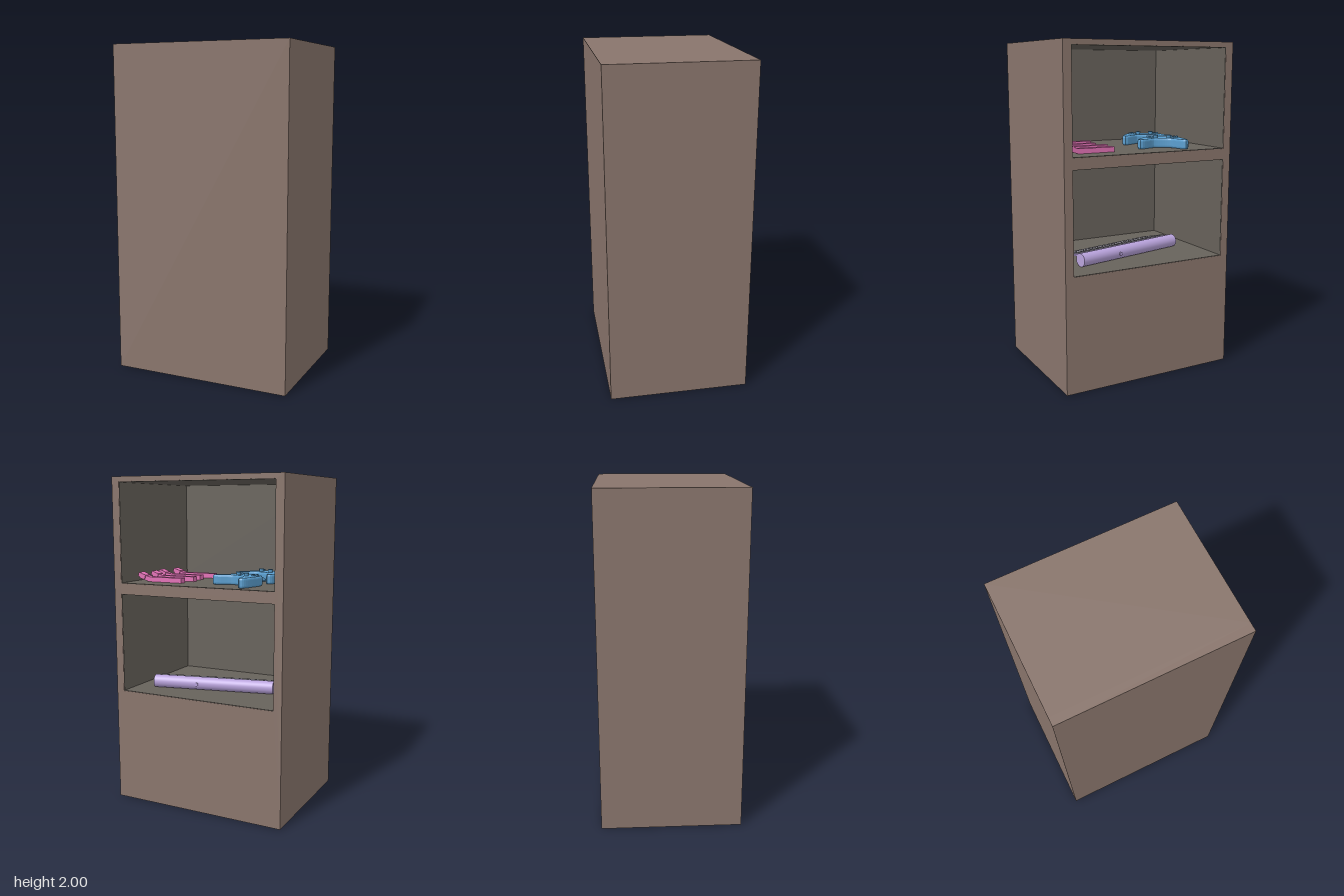
import * as THREE from 'three';
import { RoundedBoxGeometry } from 'three/addons/geometries/RoundedBoxGeometry.js';

const mat = (color) => new THREE.MeshStandardMaterial({ color });
const WOOD = mat(0x89756c), LINING = mat(0x67625b), PINK = mat(0xe272b6), BLUE = mat(0x5b9fd0),
  PURPLE = mat(0xb9a3dc), GREY = mat(0x8a8890);

const W = 1.11, D = 0.84, H = 2, INNER = 1.01, FRONT = 0.37;
const BAYS = [{ y0: 0.697, y1: 1.303 }, { y0: 1.367, y1: 1.97 }];

function add(parent, name, geo, material, x = 0, y = 0, z = 0) {
  const mesh = new THREE.Mesh(geo, material);
  mesh.name = name;
  mesh.position.set(x, y, z);
  parent.add(mesh);
  return mesh;
}

function rect(target, x0, y0, x1, y1) {
  target.moveTo(x0, y0);
  target.lineTo(x1, y0);
  target.lineTo(x1, y1);
  target.lineTo(x0, y1);
  target.closePath();
  return target;
}

// Cabinet open at the back, with two lined compartments
function makeCabinet() {
  const g = new THREE.Group();
  g.name = 'cabinet';
  const outline = rect(new THREE.Shape(), -W / 2, 0, W / 2, H);
  for (const b of BAYS) outline.holes.push(rect(new THREE.Path(), -INNER / 2, b.y0, INNER / 2, b.y1));
  const depth = FRONT + D / 2;
  add(g, 'carcass', new THREE.ExtrudeGeometry(outline, { depth, bevelEnabled: false }), WOOD, 0, 0, -D / 2);
  add(g, 'frontPanel', new THREE.BoxGeometry(W, H, D / 2 - FRONT), WOOD, 0, H / 2, (FRONT + D / 2) / 2);
  const t = 0.003, d = depth - 0.002, zc = FRONT - d / 2;
  for (const b of BAYS) {
    const h = b.y1 - b.y0, yc = (b.y0 + b.y1) / 2;
    add(g, 'liningBottom', new THREE.BoxGeometry(INNER, t, d), LINING, 0, b.y0 + t / 2, zc);
    add(g, 'liningTop', new THREE.BoxGeometry(INNER, t, d), LINING, 0, b.y1 - t / 2, zc);
    add(g, 'liningEnd', new THREE.BoxGeometry(INNER, h, t), LINING, 0, yc, FRONT - t / 2);
    for (const s of [-1, 1])
      add(g, 'liningSide', new THREE.BoxGeometry(t, h, d), LINING, s * (INNER - t) / 2, yc, zc);
  }
  return g;
}

// Slim handheld wand: straight handle with a tilted head at +x
function makeWand() {
  const g = new THREE.Group();
  g.name = 'wand';
  const side = new THREE.Shape([
    [-0.15, 0], [0.08, 0], [0.15, 0.022], [0.142, 0.045], [0.075, 0.03], [-0.15, 0.03],
  ].map(([x, y]) => new THREE.Vector2(x, y)));
  const handle = new THREE.ExtrudeGeometry(side, { depth: 0.045, bevelEnabled: false });
  add(g, 'handle', handle, PINK, 0, 0, -0.0225);
  add(g, 'head', new THREE.BoxGeometry(0.05, 0.025, 0.056), PINK, 0.128, 0.036, 0).rotation.z = 0.33;
  return g;
}

// Two-grip controller lying flat, grips toward its own +z
function makeController() {
  const g = new THREE.Group();
  g.name = 'controller';
  const s = new THREE.Shape();
  s.moveTo(0, 0.075);
  s.bezierCurveTo(0.06, 0.085, 0.1, 0.06, 0.11, 0.02);
  s.bezierCurveTo(0.125, -0.03, 0.15, -0.1, 0.14, -0.115);
  s.bezierCurveTo(0.125, -0.145, 0.085, -0.06, 0.055, -0.04);
  s.bezierCurveTo(0.03, -0.03, -0.03, -0.03, -0.055, -0.04);
  s.bezierCurveTo(-0.085, -0.06, -0.125, -0.145, -0.14, -0.115);
  s.bezierCurveTo(-0.15, -0.1, -0.125, -0.03, -0.11, 0.02);
  s.bezierCurveTo(-0.1, 0.06, -0.06, 0.085, 0, 0.075);
  const body = new THREE.ExtrudeGeometry(s, {
    depth: 0.03, bevelThickness: 0.014, bevelSize: 0.01, bevelSegments: 4, curveSegments: 8,
  });
  body.rotateX(-Math.PI / 2);
  add(g, 'body', body, BLUE, 0, 0.014, 0);
  for (const k of [-1, 1]) {
    add(g, 'thumbstick', new THREE.CylinderGeometry(0.016, 0.012, 0.02, 16), BLUE, k * 0.04, 0.066, 0.012);
    add(g, 'shoulderButton', new RoundedBoxGeometry(0.05, 0.02, 0.025, 2, 0.008), BLUE, k * 0.065, 0.035, -0.08);
  }
  for (let i = 0; i < 4; i++) {
    const a = i * Math.PI / 2;
    add(g, 'button', new THREE.CylinderGeometry(0.007, 0.007, 0.01, 12), BLUE,
      0.075 + 0.016 * Math.cos(a), 0.062, -0.025 + 0.016 * Math.sin(a));
  }
  for (const [w, d] of [[0.042, 0.013], [0.013, 0.042]])
    add(g, 'directionPad', new THREE.BoxGeometry(w, 0.01, d), BLUE, -0.075, 0.062, -0.025);
  return g;
}

// Sloping keyboard with a round tube along its raised edge
function makeKeyboard() {
  const g = new THREE.Group();
  g.name = 'keyboard';
  const L = 0.76, R = 0.04, depth = 0.27;
  const tube = new THREE.CylinderGeometry(R, R, L, 32);
  tube.rotateZ(Math.PI / 2);
  add(g, 'tube', tube, PURPLE, 0, R, 0);
  const knob = new THREE.CylinderGeometry(0.011, 0.011, 0.012, 16);
  knob.rotateX(Math.PI / 2);
  add(g, 'powerButton', knob, PURPLE, 0.1, R, -R);
  const deck = new THREE.Group();
  deck.name = 'deck';
  deck.position.y = 2 * R - 0.006;
  deck.rotation.x = 0.25;
  g.add(deck);
  add(deck, 'plate', new THREE.BoxGeometry(L, 0.012, depth), PURPLE, 0, 0, depth / 2);
  const cols = 14, rows = 5, px = (L - 0.04) / cols, pz = (depth - 0.055) / rows;
  for (let r = 0; r < rows; r++)
    for (let c = 0; c < cols; c++)
      add(deck, 'key', new THREE.BoxGeometry(px * 0.84, 0.008, pz * 0.84), GREY,
        (c + 0.5 - cols / 2) * px, 0.009, 0.045 + (r + 0.5) * pz);
  return g;
}

export function createModel() {
  const model = new THREE.Group();
  model.name = 'storageCabinet';
  model.add(makeCabinet());
  const upper = BAYS[1].y0 + 0.003, lower = BAYS[0].y0 + 0.003;

  // Four wands in a row on the upper shelf
  for (const [x, z] of [[0.32, -0.255], [0.3, -0.14], [0.32, -0.02], [0.29, 0.11]]) {
    const wand = makeWand();
    wand.position.set(x, upper, z);
    model.add(wand);
  }
  // Two controllers beside them
  for (const [x, z, turn] of [[-0.21, -0.19, 2.63], [-0.24, 0.08, 2.75]]) {
    const controller = makeController();
    controller.position.set(x, upper, z);
    controller.rotation.y = turn;
    model.add(controller);
  }
  // Keyboard lying askew on the lower shelf
  const keyboard = makeKeyboard();
  keyboard.position.set(0.01, lower, -0.165);
  keyboard.rotation.y = 0.22;
  model.add(keyboard);
  return model;
}
